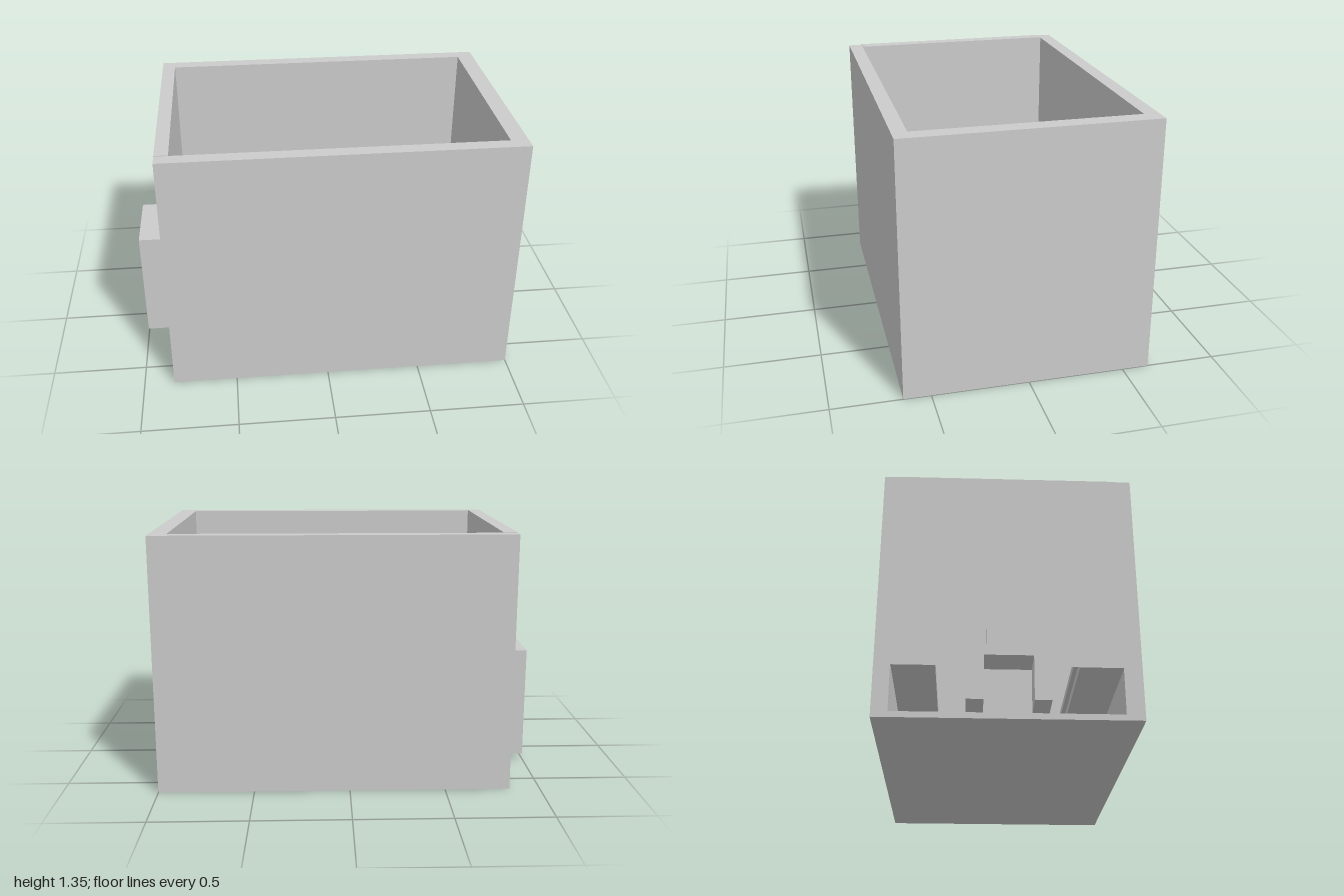
import * as THREE from 'three';

const mat = new THREE.MeshStandardMaterial({ color: 0xcccccc, flatShading: true });

// Box given by its lower and upper bounds on each axis
function box(parent, name, x0, x1, y0, y1, z0, z1) {
  const m = new THREE.Mesh(new THREE.BoxGeometry(x1 - x0, y1 - y0, z1 - z0), mat);
  m.position.set((x0 + x1) / 2, (y0 + y1) / 2, (z0 + z1) / 2);
  m.name = name;
  parent.add(m);
  return m;
}

// Closed outline from [a, b] pairs
const outline = (pts, Type = THREE.Path) => {
  const s = new Type();
  pts.forEach(([a, b], i) => (i ? s.lineTo(a, b) : s.moveTo(a, b)));
  s.closePath();
  return s;
};
const rect = (z0, z1, y0, y1) => [[z0, y0], [z1, y0], [z1, y1], [z0, y1]];

// Upright panel in the z-y plane, running from x0 to x1, with holes
function panel(parent, name, x0, x1, pts, holes) {
  // shape x is -z so that the turned panel keeps its facing
  const flip = (p) => p.map(([z, y]) => [-z, y]);
  const s = outline(flip(pts), THREE.Shape);
  s.holes = holes.map((h) => outline(flip(h)));
  const g = new THREE.ExtrudeGeometry(s, { depth: x1 - x0, bevelEnabled: false });
  g.rotateY(Math.PI / 2);
  const m = new THREE.Mesh(g, mat);
  m.position.x = x0;
  m.name = name;
  parent.add(m);
}

// U-shaped gallery slab along both long walls and the far end
function gallery(parent, name, endX, sideZ, y0, y1) {
  const s = outline([
    [-0.77, -0.565], [0.91, -0.565], [0.91, 0.565], [-0.77, 0.565],
    [-0.77, sideZ], [endX, sideZ], [endX, -sideZ], [-0.77, -sideZ],
  ], THREE.Shape);
  const g = new THREE.ExtrudeGeometry(s, { depth: y1 - y0, bevelEnabled: false });
  g.rotateX(-Math.PI / 2);
  const m = new THREE.Mesh(g, mat);
  m.position.y = y0;
  m.name = name;
  parent.add(m);
}

export function createModel() {
  const group = new THREE.Group();
  group.name = 'hall';

  // Outer shell
  const top = 1.342;
  box(group, 'floor', -0.77, 0.91, 0, 0.02, -0.565, 0.565);
  box(group, 'frontWall', -0.84, 1, 0, top, 0.565, 0.64);
  box(group, 'backWall', -0.84, 1, 0, top, -0.64, -0.565);
  box(group, 'farEndWall', 0.91, 1, 0, top, -0.565, 0.565);

  // Entrance wall with two wide side openings and the central doorway
  panel(group, 'entranceWall', -0.84, -0.77, rect(-0.565, 0.565, 0, 1.345), [
    rect(-0.56, -0.19, 0.03, 0.27),
    rect(0.18, 0.55, 0.03, 0.27),
    rect(-0.12, 0.11, 0.03, 0.25),
  ]);

  // Galleries inside, the lower one reaching further in
  gallery(group, 'lowerGallery', 0.615, 0.35, 0.3, 0.34);
  gallery(group, 'upperGallery', 0.685, 0.4, 0.6, 0.64);

  // Porch: body with an open passage between two legs
  const porch = new THREE.Group();
  porch.name = 'porch';
  group.add(porch);
  const arch = [
    [-0.2, 0.03], [-0.12, 0.03], [-0.12, 0.25], [0.11, 0.25],
    [0.11, 0.03], [0.19, 0.03], [0.19, 0.64], [-0.2, 0.64],
  ];
  panel(porch, 'porchBody', -0.97, -0.84, arch, []);
  // Thin face with a stepped window recess
  panel(porch, 'porchFace', -1, -0.97, arch, [[
    [-0.15, 0.28], [0.145, 0.28], [0.145, 0.395], [0.1, 0.395],
    [0.1, 0.5], [-0.1, 0.5], [-0.1, 0.395], [-0.15, 0.395],
  ]]);
  // Framed panel set in the lower part of the recess
  panel(porch, 'windowPanel', -1, -0.97, rect(-0.11, 0.105, 0.28, 0.395), [
    rect(-0.075, 0.07, 0.3, 0.375),
  ]);

  return group;
}
